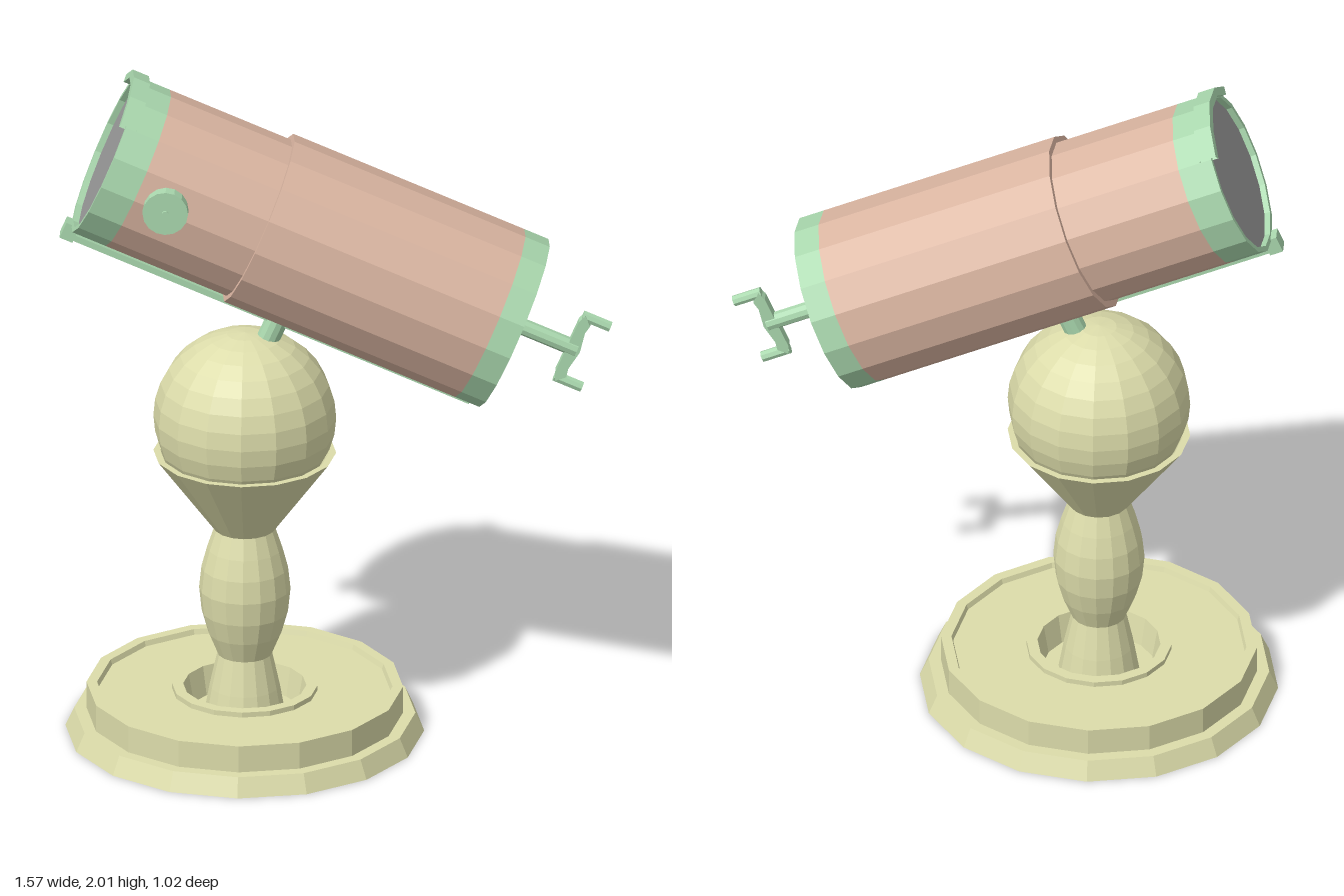
import * as THREE from 'three';

const SIDES = 16;
const mat = (color) => new THREE.MeshStandardMaterial({ color, flatShading: true, side: THREE.DoubleSide });

export function createModel() {
  const sand = mat(0xdcdcaa), copper = mat(0xdab5a1), green = mat(0xaad8ae), grey = mat(0x999999);
  const model = new THREE.Group();

  const add = (parent, name, geometry, material, x = 0, y = 0, z = 0) => {
    const mesh = new THREE.Mesh(geometry, material);
    mesh.name = name;
    mesh.position.set(x, y, z);
    parent.add(mesh);
    return mesh;
  };
  const lathe = (pts, start = 0, sweep = Math.PI * 2, sides = SIDES) =>
    new THREE.LatheGeometry(pts.map(([r, h]) => new THREE.Vector2(r, h)), sides, start, sweep);
  // Turned shape whose axis lies along x
  const latheX = (pts, ...arc) => lathe(pts, ...arc).rotateZ(-Math.PI / 2);

  // Stand: stepped base with a well, turned post, cup and ball
  const stand = new THREE.Group();
  stand.name = 'stand';
  stand.position.x = -0.27;
  model.add(stand);
  add(stand, 'base', lathe([
    [0, 0], [0.51, 0], [0.485, 0.055], [0.45, 0.055], [0.45, 0.135], [0.42, 0.135], [0.415, 0.12],
    [0.207, 0.12], [0.207, 0.135], [0.175, 0.135], [0.16, 0.05], [0, 0.05],
  ]), sand);
  add(stand, 'post', lathe([
    [0.115, 0.05], [0.1, 0.135], [0.078, 0.235], [0.105, 0.3], [0.123, 0.365], [0.13, 0.435],
    [0.123, 0.5], [0.107, 0.56], [0.087, 0.62],
  ]), sand);
  add(stand, 'cup', lathe([[0.087, 0.62], [0.26, 0.855], [0.24, 0.855], [0.2, 0.8]]), sand);
  add(stand, 'ball', new THREE.SphereGeometry(0.26, SIDES, 16), sand, 0, 0.963, 0);

  // Telescope: local x runs along the tube, origin at the centre of the closed end
  const scope = new THREE.Group();
  scope.name = 'telescope';
  scope.position.set(0.495, 1.265, 0);
  scope.rotation.z = -0.407;
  model.add(scope);

  add(scope, 'largeTube', latheX([[0.236, -0.79], [0.258, -0.79], [0.258, -0.075]]), copper);
  add(scope, 'endCap', latheX([[0.258, -0.075], [0.258, 0], [0, 0]]), green);
  add(scope, 'smallTube', latheX([[0.24, -1.165], [0.24, -0.75]]), copper);
  add(scope, 'mouthRing', latheX([[0.225, -1.245], [0.225, -1.267], [0.24, -1.267], [0.24, -1.165]]), green);
  add(scope, 'mouthDisc', latheX([[0, -1.25], [0.226, -1.25]]), grey);

  // Curved clip over the top of the mouth
  const clip = [[0.228, -1.285], [0.253, -1.285], [0.253, -1.235], [0.228, -1.235], [0.228, -1.285]];
  add(scope, 'mouthClip', latheX(clip, -Math.PI * 0.75, Math.PI / 2, 4), green);

  // Rail under the tube, with its end block and the neck to the ball
  add(scope, 'rail', new THREE.BoxGeometry(1.25, 0.018, 0.036), green, -0.645, -0.267, 0);
  add(scope, 'railBlock', new THREE.BoxGeometry(0.04, 0.05, 0.048), green, -1.265, -0.255, 0);
  add(scope, 'neck', new THREE.CylinderGeometry(0.033, 0.033, 0.19, 12), green, -0.618, -0.335, 0);

  // Round eyepiece on the front side of the tube
  add(scope, 'eyepiece', new THREE.CylinderGeometry(0.065, 0.065, 0.045, SIDES).rotateX(Math.PI / 2),
    green, -1.072, 0.01, 0.242);
  add(scope, 'eyepiecePin', new THREE.CylinderGeometry(0.01, 0.01, 0.01, 8).rotateX(Math.PI / 2),
    green, -1.072, 0.01, 0.266);

  // Crank on the closed end: collar, shaft, two bent arms and their grips
  const crank = new THREE.Group();
  crank.name = 'crank';
  scope.add(crank);
  add(crank, 'collar', latheX([[0.05, 0], [0.05, 0.02], [0, 0.02]]), green);
  add(crank, 'shaft', latheX([[0.024, 0], [0.024, 0.195], [0, 0.195]], 0, Math.PI * 2, 10), green);
  for (const s of [1, -1]) {
    const arm = new THREE.Shape([
      [0.165, 0], [0.205, 0], [0.195, 0.06], [0.2, 0.086], [0.175, 0.11], [0.165, 0.085],
    ].map(([x, y]) => new THREE.Vector2(x, y * s)));
    add(crank, 'crankArm', new THREE.ExtrudeGeometry(arm, { depth: 0.034, bevelEnabled: false }), green, 0, 0, -0.017);
    add(crank, 'crankGrip', new THREE.CylinderGeometry(0.016, 0.016, 0.085, 8).rotateZ(Math.PI / 2),
      green, 0.212, s * 0.102, 0);
  }
  return model;
}
